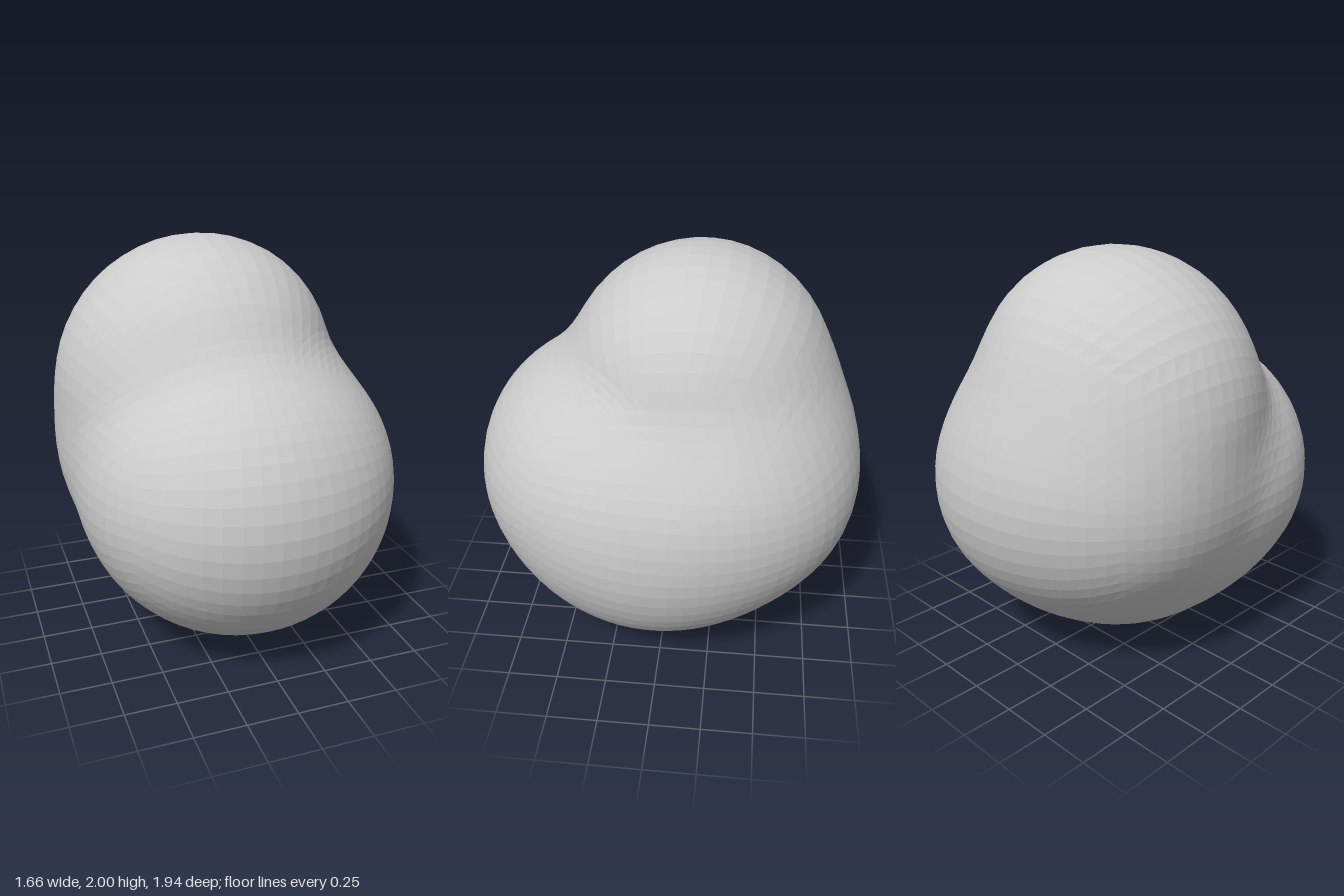
import * as THREE from 'three';
import { mergeVertices } from 'three/addons/utils/BufferGeometryUtils.js';

// Overlapping lobes that melt together: centre and radii on x, y, z
const LOBES = [
  { c: [-0.05, 1.365, -0.14], r: [0.62, 0.63, 0.65] }, // crown
  { c: [-0.05, 0.84, 0.25], r: [0.755, 0.71, 0.725] }, // front
  { c: [0.15, 0.83, -0.05], r: [0.675, 0.68, 0.85] },  // left side
  { c: [-0.22, 1.26, -0.15], r: [0.605, 0.66, 0.60] }, // upper right side
  { c: [-0.20, 0.87, -0.08], r: [0.57, 0.55, 0.62] },  // lower right side
  { c: [-0.04, 0.94, -0.30], r: [0.75, 0.69, 0.66] },  // back
  { c: [0.05, 0.62, 0.04], r: [0.69, 0.62, 0.71] },    // base
];
const CORE = new THREE.Vector3(0, 0.95, 0);
const BLEND = 0.15;

// Distance-like field of all lobes, joined with a smooth minimum
function field(p) {
  let d = Infinity;
  for (const { c, r } of LOBES) {
    const e = (Math.hypot(...p.toArray().map((v, i) => (v - c[i]) / r[i])) - 1) * Math.min(...r);
    const h = Math.max(BLEND - Math.abs(d - e), 0) / BLEND;
    d = Math.min(d, e) - (h * h * BLEND) / 4;
  }
  return d;
}

// Walk out from the core along a direction to where the field crosses zero
function surfacePoint(dir) {
  let near = 0, far = 2;
  const p = new THREE.Vector3();
  for (let i = 0; i < 22; i++) {
    const mid = (near + far) / 2;
    p.copy(CORE).addScaledVector(dir, mid);
    if (field(p) < 0) near = mid; else far = mid;
  }
  return p;
}

export function createModel() {
  const group = new THREE.Group();
  group.name = 'lobedBlob';

  // Evenly divided cube, pushed out onto the blended surface
  const box = new THREE.BoxGeometry(2, 2, 2, 18, 18, 18);
  box.deleteAttribute('normal');
  box.deleteAttribute('uv');
  const geo = mergeVertices(box);
  const pos = geo.attributes.position;
  const dir = new THREE.Vector3();
  for (let i = 0; i < pos.count; i++) {
    dir.fromBufferAttribute(pos, i);
    dir.set(...dir.toArray().map((v) => Math.tan((v * Math.PI) / 4))).normalize();
    pos.setXYZ(i, ...surfacePoint(dir).toArray());
  }
  geo.computeVertexNormals();

  const body = new THREE.Mesh(
    geo,
    new THREE.MeshStandardMaterial({ color: 0xcccccc, flatShading: true })
  );
  body.name = 'body';
  group.add(body);
  return group;
}
